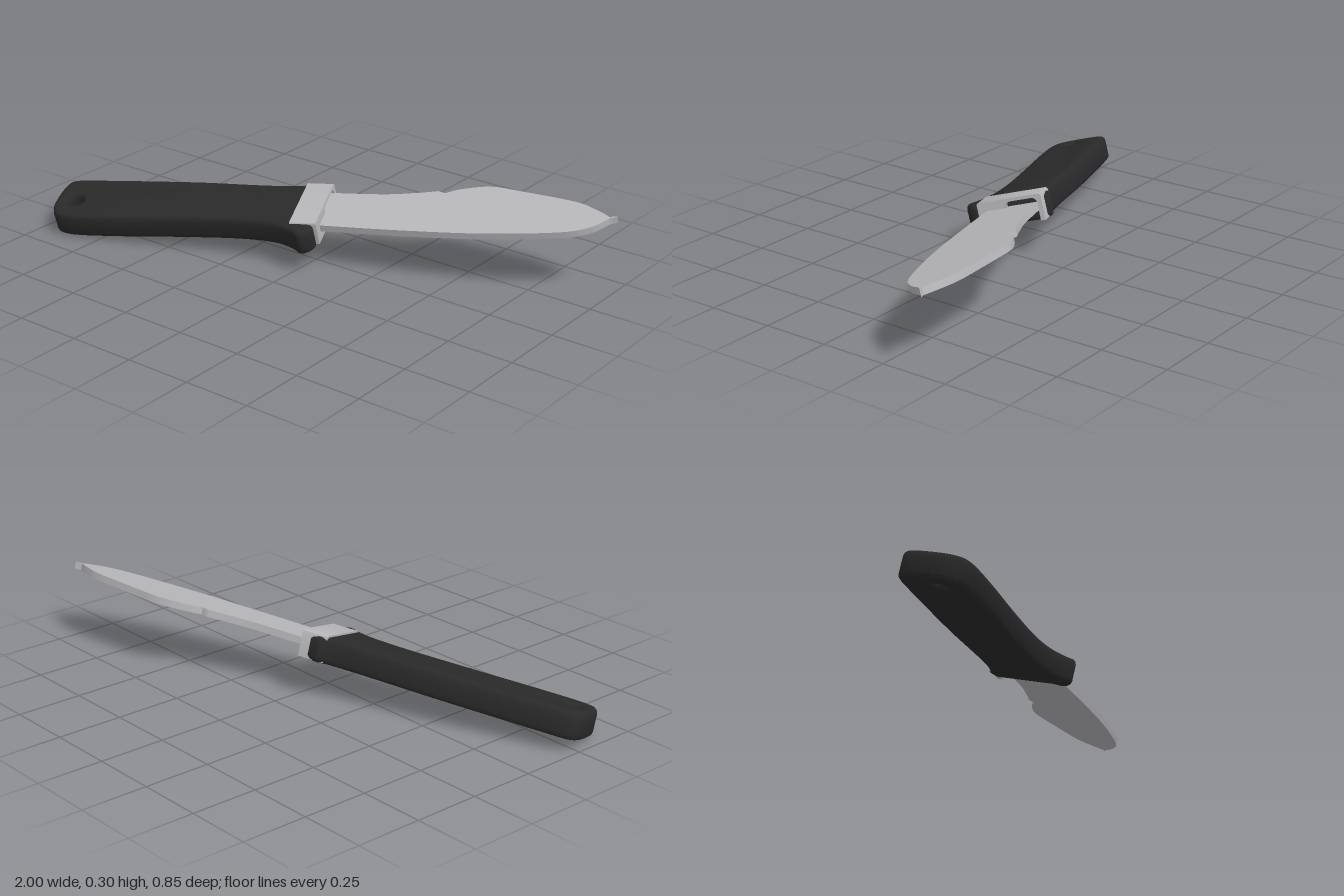
import * as THREE from 'three';
import { toCreasedNormals } from 'three/addons/utils/BufferGeometryUtils.js';

const TILT = 0.275;
const STRETCH = 1 / Math.cos(TILT); // plan depth to depth along the tilted plane
const vecs = (pts) => pts.map(([x, z]) => new THREE.Vector2(x, z * STRETCH));

// Extrudes a plan shape to a slab centred on y = 0
function slab(shape, thickness, bevel) {
  const geo = new THREE.ExtrudeGeometry(shape, {
    depth: thickness - 2 * bevel, curveSegments: 10, bevelEnabled: bevel > 0,
    bevelSize: bevel, bevelThickness: bevel, bevelOffset: -bevel, bevelSegments: 3,
  });
  geo.rotateX(Math.PI / 2);
  geo.translate(0, thickness / 2 - bevel, 0);
  return toCreasedNormals(geo, 0.6);
}

export function createModel() {
  const black = new THREE.MeshStandardMaterial({ name: 'black grip', color: 0x2a2a2a });
  const steel = new THREE.MeshStandardMaterial({ name: 'steel', color: 0xb8b8bb });
  const knife = new THREE.Group();
  knife.name = 'knife';
  const add = (name, geo, mat) => {
    const mesh = new THREE.Mesh(geo, mat);
    mesh.name = name;
    knife.add(mesh);
    return mesh;
  };

  // Handle: curved outline with a flared finger guard and a lanyard hole
  const grip = new THREE.Shape();
  grip.moveTo(-0.95, 0.2 * STRETCH);
  grip.splineThru(vecs([[-0.74, 0.118], [-0.505, 0.03], [-0.265, -0.05], [-0.13, -0.102]]));
  grip.lineTo(-0.095, -0.132 * STRETCH);
  grip.lineTo(-0.045, -0.135 * STRETCH);
  grip.lineTo(0.035, 0.065 * STRETCH);
  grip.splineThru(vecs([[0.06, 0.09], [0.056, 0.122], [0.03, 0.146], [-0.02, 0.135], [-0.105, 0.135],
    [-0.24, 0.17], [-0.45, 0.25], [-0.72, 0.36], [-0.88, 0.412], [-0.945, 0.388], [-0.985, 0.31],
    [-0.998, 0.25], [-0.985, 0.22], [-0.95, 0.2]]));
  const hole = new THREE.Path();
  hole.absarc(-0.893, 0.317 * STRETCH, 0.03, 0, Math.PI * 2, true);
  grip.holes.push(hole);
  add('handle', slab(grip, 0.097, 0.018), black);

  // Blade: notched, humped spine, upturned tip and curved cutting edge
  const outline = new THREE.Shape();
  outline.moveTo(-0.06, -0.11 * STRETCH);
  outline.lineTo(-0.02, -0.13 * STRETCH);
  outline.splineThru(vecs([[0.163, -0.198], [0.27, -0.252], [0.335, -0.29]]));
  outline.lineTo(0.365, -0.29 * STRETCH);
  outline.splineThru(vecs([[0.41, -0.335], [0.5, -0.387], [0.62, -0.406], [0.82, -0.427],
    [0.91, -0.417], [0.975, -0.4]]));
  outline.lineTo(1, -0.411 * STRETCH);
  outline.lineTo(0.98, -0.393 * STRETCH);
  outline.splineThru(vecs([[0.945, -0.325], [0.86, -0.257], [0.62, -0.147], [0.35, -0.05], [0.055, 0.045]]));
  outline.lineTo(-0.02, 0.06 * STRETCH);
  add('blade', slab(outline, 0.026, 0), steel).position.y = 0.008;

  // Bolster: clip over the top and sides of the handle, open below on the spine side
  const clip = new THREE.Shape();
  clip.moveTo(-0.123, -0.038);
  clip.lineTo(-0.015, -0.038);
  clip.lineTo(-0.015, 0.032);
  clip.quadraticCurveTo(-0.01, 0.042, 0.01, 0.043);
  clip.lineTo(0.085, 0.043);
  clip.quadraticCurveTo(0.105, 0.042, 0.105, 0.02);
  clip.lineTo(0.105, -0.044);
  clip.lineTo(0.123, -0.044);
  clip.lineTo(0.123, 0.043);
  clip.quadraticCurveTo(0.123, 0.055, 0.111, 0.055);
  clip.lineTo(-0.113, 0.055);
  clip.quadraticCurveTo(-0.123, 0.055, -0.123, 0.045);
  const clipGeo = new THREE.ExtrudeGeometry(clip, { depth: 0.1, bevelEnabled: false, curveSegments: 6 });
  clipGeo.translate(0, 0, -0.1);
  clipGeo.rotateY(Math.PI / 2);
  const bolster = add('bolster', toCreasedNormals(clipGeo, 0.6), steel);
  bolster.position.set(0.022, 0, -0.037);
  bolster.rotation.y = 0.355;

  // The whole knife lies in a plane tilted about the x axis
  knife.rotation.x = TILT;
  knife.position.y = 0.163;
  const model = new THREE.Group();
  model.name = 'model';
  model.add(knife);
  return model;
}
